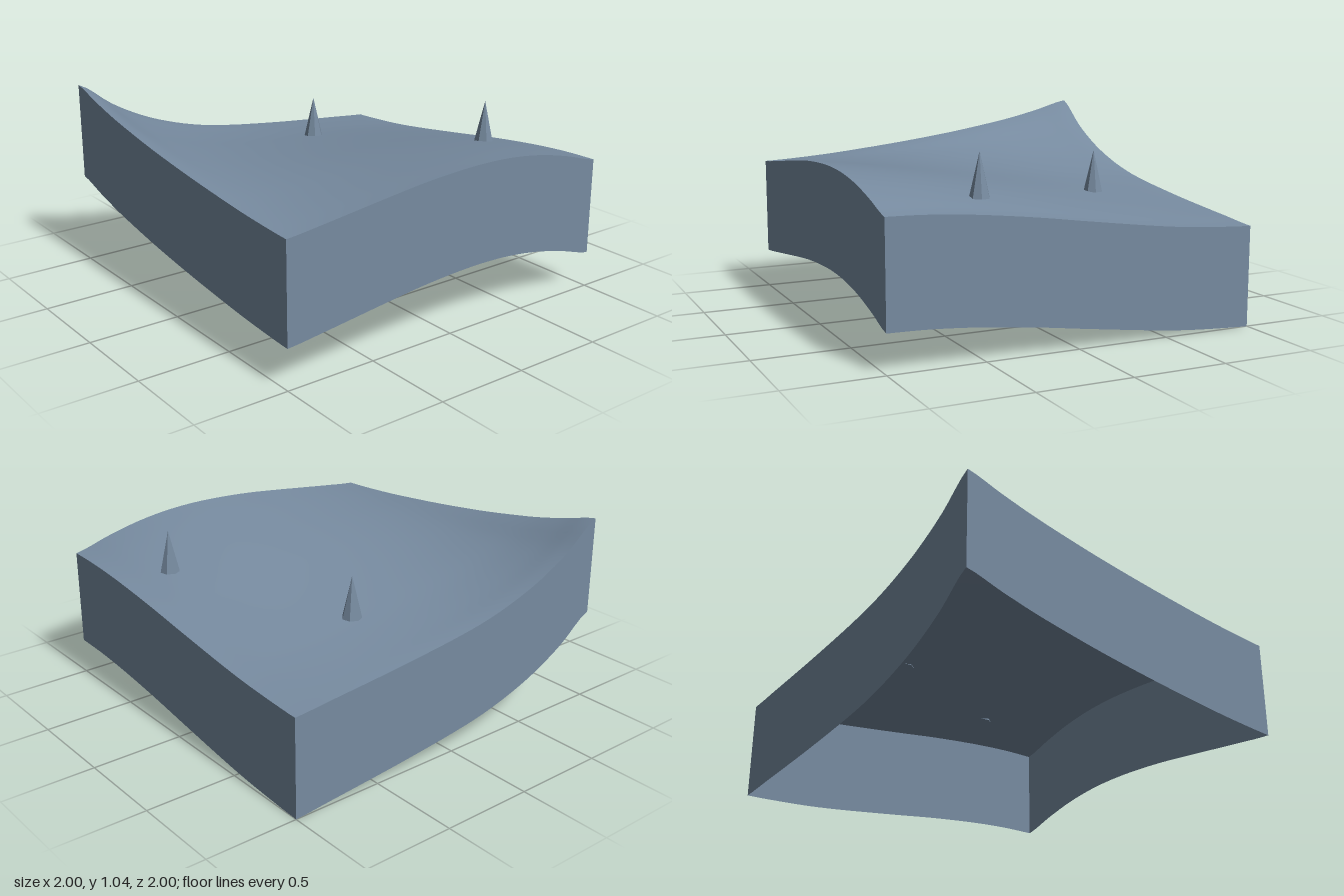
import * as THREE from 'three';

const DEPTH = 0.533; // skirt height
const SEG = 40;

// Edge heights sampled evenly from -1 to 1
const edge = (ys) => {
  const curve = new THREE.SplineCurve(ys.map((y, i) => new THREE.Vector2(i, y)));
  return (t) => curve.getPoint(THREE.MathUtils.clamp(t, 0, 1)).y;
};
const back = edge([1.04, 0.90, 0.795, 0.722, 0.67, 0.637, 0.612, 0.59, 0.571, 0.553, 0.535]);
const front = edge([0.75, 0.772, 0.797, 0.822, 0.845, 0.86, 0.866, 0.858, 0.832, 0.787, 0.732]);
const right = edge([1.04, 0.987, 0.94, 0.903, 0.87, 0.842, 0.817, 0.795, 0.775, 0.76, 0.75]);
const left = edge([0.535, 0.545, 0.56, 0.583, 0.61, 0.638, 0.667, 0.692, 0.713, 0.727, 0.732]);

// Surface blended between the four edge curves (Coons patch)
function height(x, z) {
  const u = (x + 1) / 2, v = (z + 1) / 2, mix = THREE.MathUtils.lerp;
  const corners = mix(mix(back(0), back(1), u), mix(front(0), front(1), u), v);
  return mix(back(u), front(u), v) + mix(right(v), left(v), u) - corners;
}

// Replace each vertex height by the surface height plus an offset
function drape(geometry, offset) {
  const p = geometry.attributes.position;
  for (let i = 0; i < p.count; i++) {
    p.setY(i, height(p.getX(i), p.getZ(i)) + offset(p.getY(i)));
  }
  geometry.computeVertexNormals();
  return geometry;
}

export function createModel() {
  const model = new THREE.Group();
  model.name = 'terrainTile';
  const slate = new THREE.MeshStandardMaterial({ color: 0x778ba0, side: THREE.DoubleSide });
  slate.name = 'slateBlue';
  const spikeSlate = slate.clone();
  spikeSlate.name = 'slateBlueFaceted';
  spikeSlate.flatShading = true;

  const add = (name, geometry, material) => {
    const mesh = new THREE.Mesh(geometry, material);
    mesh.name = name;
    model.add(mesh);
    return mesh;
  };

  // Curved ground surface
  const ground = new THREE.PlaneGeometry(2, 2, SEG, SEG).rotateX(-Math.PI / 2);
  add('ground', drape(ground, () => 0), slate);

  // Four skirt walls following the edges, open underneath
  ['frontWall', 'leftWall', 'backWall', 'rightWall'].forEach((name, k) => {
    const wall = new THREE.PlaneGeometry(2, 1, SEG, 1).translate(0, 0, 1).rotateY(k * Math.PI / 2);
    add(name, drape(wall, (y) => (y < 0 ? -DEPTH : 0)), slate);
  });

  // Two faceted spikes standing on the ground
  [['backSpike', 0.25, -0.5], ['frontSpike', 0.75, 0.42]].forEach(([name, x, z]) => {
    const cone = new THREE.ConeGeometry(0.053, 0.228, 7).rotateY(Math.PI).translate(0, 0.114, 0);
    add(name, cone, spikeSlate).position.set(x, height(x, z), z);
  });

  return model;
}
